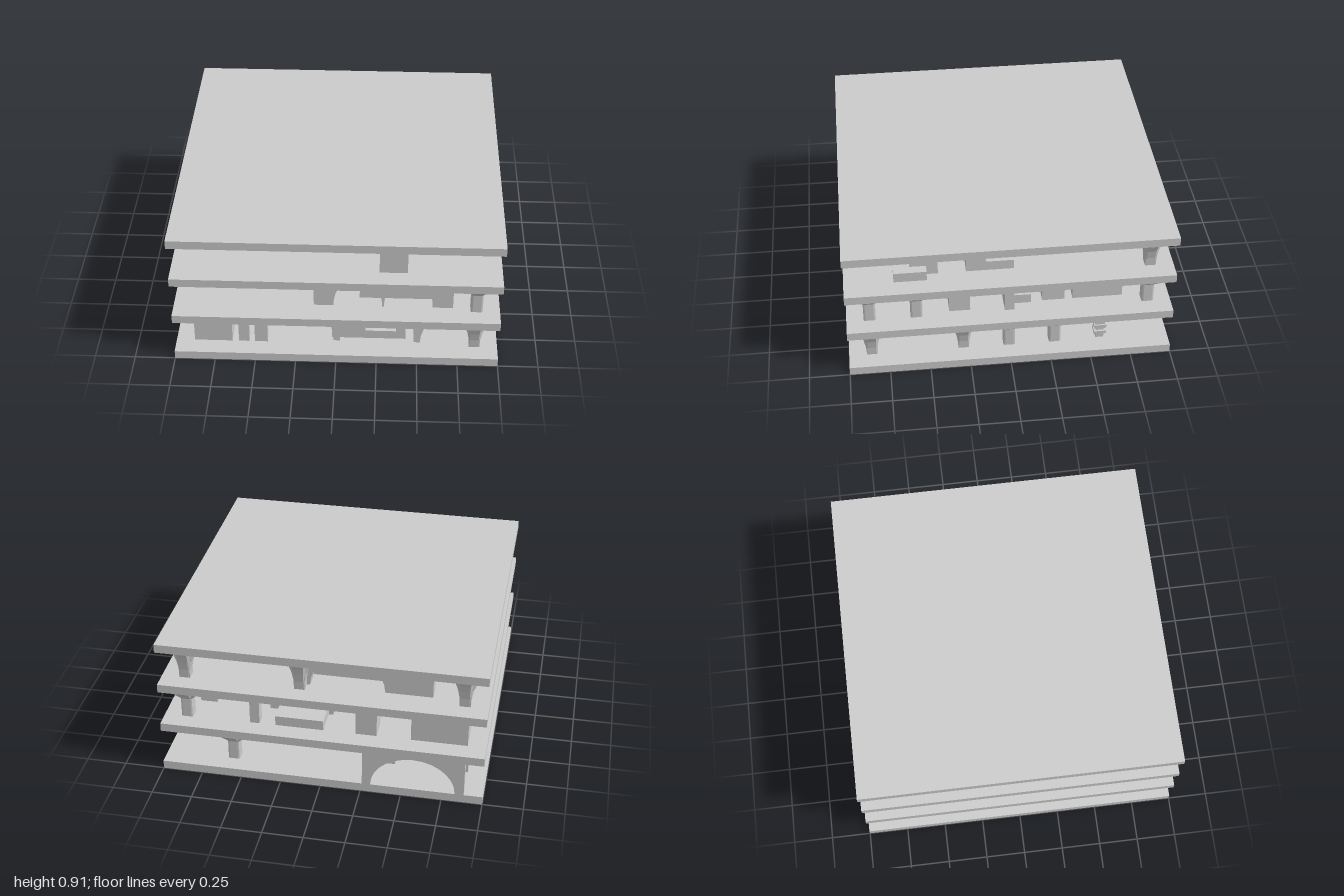
import * as THREE from 'three';

const CELL = 2 / 7, SLAB = 0.055, CLEAR = 0.232;
const mat = new THREE.MeshStandardMaterial({ color: 0xcccccc, flatShading: true, side: THREE.DoubleSide });
const floorY = f => f * CELL + SLAB;

export function createModel() {
  const root = new THREE.Group();
  root.name = 'openPavilion';
  const levels = ['lower', 'middle', 'upper'].map(n => {
    const g = new THREE.Group();
    g.name = n + 'Storey';
    root.add(g);
    return g;
  });
  const put = (parent, name, geo) => {
    const m = new THREE.Mesh(geo, mat);
    m.name = name;
    parent.add(m);
    return m;
  };

  // Solid block standing on a storey floor
  const block = (f, name, x0, x1, z0, z1, h = CLEAR) =>
    put(levels[f], name, new THREE.BoxGeometry(x1 - x0, h, z1 - z0))
      .position.set((x0 + x1) / 2, floorY(f) + h / 2, (z0 + z1) / 2);

  // Column whose section opens from a square post into a four-winged capital
  const column = (f, x, z, style = 'splay') => {
    const rows = style === 'vault'
      ? [0, 0.25, 0.5, 0.7, 0.85, 0.95, 1].map(t => [t * CLEAR, 0.033 + 0.11 * (1 - Math.sqrt(1 - t * t))])
      : [[0, 0.037], [0.13, 0.037], [CLEAR, 0.143]];
    const pos = [], idx = [];
    for (const [y, w] of rows) {
      const k = (w - 0.033) / 0.11, t = 0.025 + 0.022 * k, d = 0.033 + 0.035 * k;
      for (let q = 0; q < 4; q++) {
        const c = Math.round(Math.cos(q * Math.PI / 2)), s = Math.round(Math.sin(q * Math.PI / 2));
        for (const [a, b] of [[w, -t], [w, t], [d, d]]) pos.push(a * c - b * s, y, a * s + b * c);
      }
    }
    for (let r = 0; r < rows.length - 1; r++) for (let i = 0; i < 12; i++) {
      const a = r * 12 + i, b = r * 12 + (i + 1) % 12;
      idx.push(a, a + 12, b, b, a + 12, b + 12);
    }
    const g = new THREE.BufferGeometry();
    g.setAttribute('position', new THREE.Float32BufferAttribute(pos, 3));
    g.setIndex(idx);
    g.computeVertexNormals();
    put(levels[f], style + 'Column', g).position.set(x, floorY(f), z);
  };

  // Upright panel; along z its outline runs in z and its thickness runs toward -x
  const panel = (f, name, shape, at, thick, alongZ = false) => {
    const g = new THREE.ExtrudeGeometry(shape, { depth: thick, bevelEnabled: false, curveSegments: 7 });
    if (alongZ) g.rotateY(-Math.PI / 2);
    put(levels[f], name, g).position.set(alongZ ? at : 0, floorY(f), alongZ ? 0 : at);
  };
  const rect = (Type, a0, a1, y0, y1) =>
    new Type().moveTo(a0, y0).lineTo(a1, y0).lineTo(a1, y1).lineTo(a0, y1).closePath();

  // Wall with round-headed openings that reach the floor
  const archWall = (f, name, a0, a1, centres, r, at, thick, alongZ) => {
    const s = new THREE.Shape().moveTo(a0, 0);
    for (const c of centres) {
      s.lineTo(c - r, 0);
      s.absellipse(c, 0, r, CLEAR - 0.012, Math.PI, 0, true);
    }
    s.lineTo(a1, 0).lineTo(a1, CLEAR).lineTo(a0, CLEAR).closePath();
    panel(f, name, s, at, thick, alongZ);
  };
  const windowWall = (f, a0, a1, w0, w1, at, alongZ) => {
    const s = rect(THREE.Shape, a0, a1, 0, CLEAR);
    s.holes.push(rect(THREE.Path, w0, w1, 0.06, 0.155));
    panel(f, 'windowWall', s, at, 0.06, alongZ);
  };

  // Post with a quarter arch reaching out to one side
  const bracket = (f, x, reach, z) => {
    const d = Math.sign(reach), s = new THREE.Shape().moveTo(x, 0).lineTo(x + d * 0.04, 0);
    for (let i = 1; i <= 7; i++) {
      const a = i / 7 * Math.PI / 2;
      s.lineTo(x + d * 0.04 + (reach - d * 0.04) * (1 - Math.cos(a)), CLEAR * Math.sin(a));
    }
    s.lineTo(x, CLEAR).closePath();
    panel(f, 'archBracket', s, z, 0.06);
  };

  // Four floor plates
  for (let i = 0; i < 4; i++)
    put(root, 'floorPlate', new THREE.BoxGeometry(2, SLAB, 2)).position.y = i * CELL + SLAB / 2;

  // Lower storey: columns
  for (const [x, z] of [[0.857, 0.857], [0.857, 0.286], [0.571, 0.286]]) column(0, x, z, 'vault');
  for (const [x, z] of [[0.857, 0], [0.857, -0.286], [0.571, -0.857]]) column(0, x, z);
  // Ringed post
  const ringed = [[0.03, 0], [0.03, 0.04], [0.045, 0.04], [0.045, 0.06], [0.03, 0.06], [0.03, 0.085],
    [0.045, 0.085], [0.045, 0.11], [0.035, 0.11], [0.035, 0.13], [0.055, 0.17], [0.055, CLEAR]];
  put(levels[0], 'ringedPost', new THREE.LatheGeometry(
    ringed.map(([r, y]) => new THREE.Vector2(r * Math.SQRT2 * 0.85, y)), 4, Math.PI / 4))
    .position.set(0.857, floorY(0), -0.571);
  // Lower storey: windowed room, slatted wall and rear arcade
  windowWall(0, -0.03, 0.43, 0.18, 0.39, 0.77);
  windowWall(0, 0.3, 0.83, 0.47, 0.68, 0.43, true);
  bracket(0, 0.02, -0.16, 0.8);
  bracket(0, 0.48, 0.23, 0.8);
  block(0, 'frontWall', -0.886, -0.65, 0.77, 0.886);
  block(0, 'slat', -0.61, -0.545, 0.82, 0.886);
  block(0, 'slat', -0.51, -0.43, 0.82, 0.886);
  block(0, 'innerBlock', -0.43, -0.26, -0.77, -0.6);
  block(0, 'sideBlock', -0.886, -0.72, -0.77, -0.43);
  block(0, 'sidePost', -0.886, -0.8, -0.1, 0.02);
  archWall(0, 'rearArcade', -0.886, -0.26, [-0.571], 0.26, -1, 0.05);
  archWall(0, 'sideArch', -1, -0.714, [-0.857], 0.1, -0.83, 0.05, true);

  // Middle storey: columns
  for (const [x, z] of [[0.857, 0.857], [0.857, 0.571], [0.857, -0.857], [-0.286, -0.286]]) column(1, x, z);
  // Middle storey: front arches around a low bench
  archWall(1, 'frontArches', -0.14, 0.714, [0.13, 0.44], 0.15, 0.8, 0.06);
  block(1, 'bench', 0.14, 0.6, 0.43, 0.78, 0.065);
  block(1, 'innerPost', -0.03, 0.03, 0.6, 0.71);
  // Middle storey: right side
  block(1, 'sidePost', 0.74, 0.86, 0.24, 0.37);
  block(1, 'sidePost', 0.82, 0.886, -0.03, 0.03);
  block(1, 'sideBench', 0.714, 0.83, -0.14, 0.03, 0.065);
  block(1, 'sideWall', 0.714, 0.82, -0.35, -0.21);
  block(1, 'sideWall', 0.714, 0.82, -0.71, -0.4);
  // Middle storey: rear and left side
  block(1, 'rearBench', 0.0, 0.3, -0.886, -0.6, 0.065);
  archWall(1, 'rearArch', -0.03, 0.37, [0.17], 0.14, -0.714, 0.05);
  block(1, 'rearPost', 0.4, 0.46, -0.886, -0.82);
  block(1, 'rearBlock', -0.33, -0.2, -0.886, -0.75);
  block(1, 'cornerBlock', -0.886, -0.54, -0.886, -0.61);
  block(1, 'sidePost', -0.886, -0.82, -0.57, -0.51);
  archWall(1, 'sideArch', -0.48, 0.03, [-0.23], 0.2, -0.82, 0.06, true);
  block(1, 'sideBlock', -0.886, -0.714, 0.05, 0.6);

  // Upper storey: columns
  for (const [x, z] of [[0.857, -0.857], [-0.857, -0.857], [0.571, -0.286], [0.143, -0.857]])
    column(2, x, z, 'vault');
  for (const [x, z] of [[-0.857, -0.571], [0.571, -0.571]]) column(2, x, z);
  // Upper storey: blocks and benches
  block(2, 'frontBlock', 0.26, 0.43, 0.714, 0.886);
  block(2, 'innerBlock', 0.14, 0.26, 0.14, 0.26);
  block(2, 'sideBlock', 0.714, 0.83, 0.43, 0.6);
  block(2, 'sideBench', 0.6, 0.886, 0.5, 0.7, 0.065);
  block(2, 'sideBench', 0.43, 0.83, -0.03, 0.26, 0.065);
  block(2, 'sidePost', 0.714, 0.83, 0.14, 0.26);
  block(2, 'rearBench', -0.43, 0.14, -0.71, -0.4, 0.065);
  block(2, 'innerPost', -0.2, -0.14, 0.43, 0.6);
  block(2, 'leftBlock', -0.886, -0.6, 0.25, 0.6);
  // Upper storey: rear arched wall
  archWall(2, 'rearArchWall', -0.66, 0.14, [-0.14], 0.23, -0.83, 0.1);

  return root;
}
